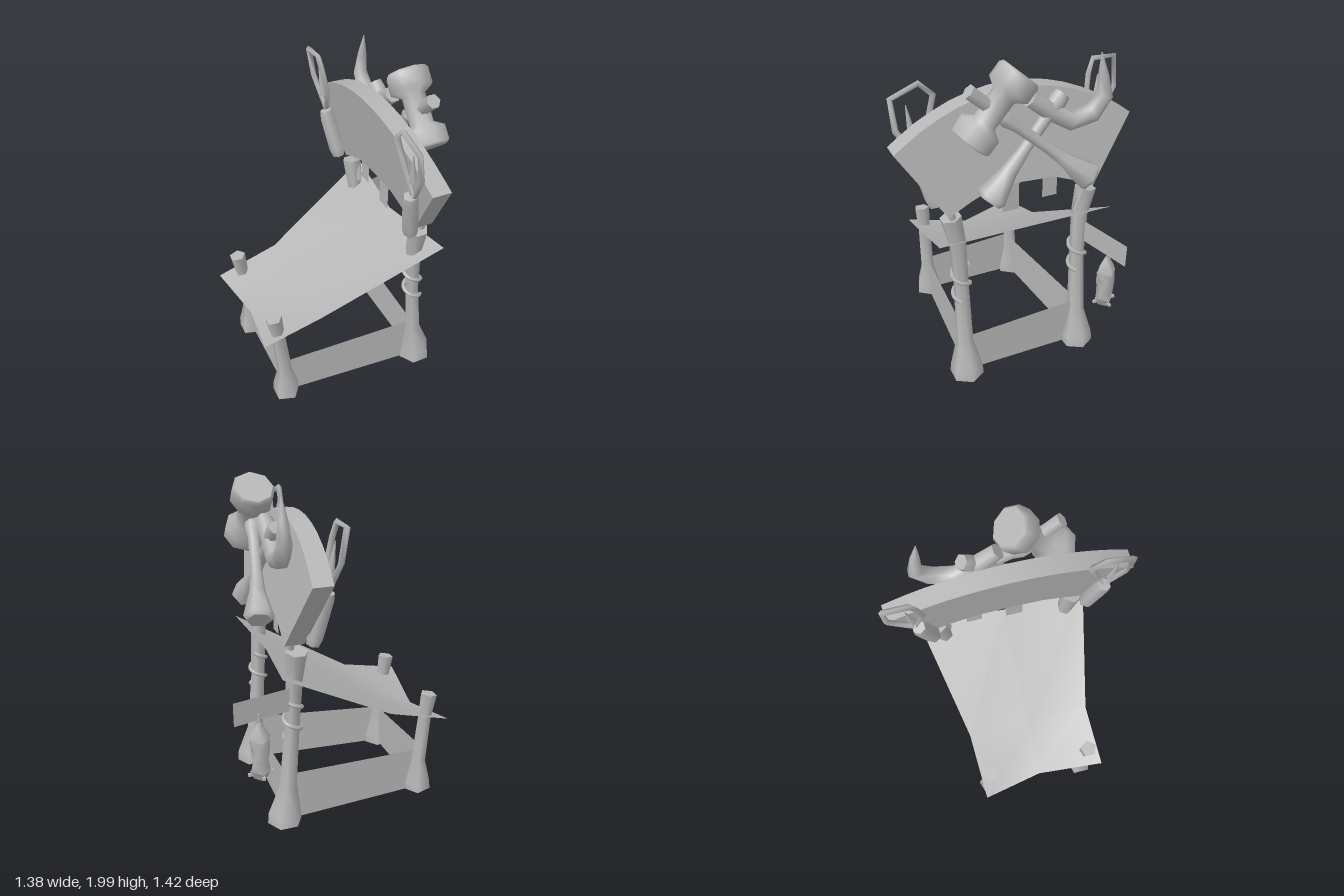
import * as THREE from 'three';
import { toCreasedNormals } from 'three/addons/utils/BufferGeometryUtils.js';

const V = (x, y, z) => new THREE.Vector3(x, y, z);
const stone = new THREE.MeshStandardMaterial({ color: 0xb6b6b6, side: THREE.DoubleSide });
stone.name = 'plain grey';

// Smooth rod through rings [x, y, z, radius], with flat caps unless closed
function rodGeometry(rings, sides = 6, { closed = false, twist = 0, start = 0 } = {}) {
  const n = rings.length, pos = [], index = [];
  const centre = i => V(...rings[i].slice(0, 3));
  const ring = i => {
    const a = closed ? (i + n - 1) % n : Math.max(i - 1, 0);
    const b = closed ? (i + 1) % n : Math.min(i + 1, n - 1);
    const t = centre(b).sub(centre(a)).normalize();
    const u = V(1, 0, 0).addScaledVector(t, -t.x).normalize();
    const v = t.clone().cross(u);
    for (let j = 0; j < sides; j++) {
      const q = start + twist * i + j / sides * Math.PI * 2, r = rings[i][3];
      const p = centre(i).addScaledVector(u, Math.cos(q) * r).addScaledVector(v, Math.sin(q) * r);
      pos.push(p.x, p.y, p.z);
    }
  };
  for (let i = 0; i < n; i++) ring(i);
  for (let i = 0; i < (closed ? n : n - 1); i++)
    for (let j = 0; j < sides; j++) {
      const k = (j + 1) % sides, m = (i + 1) % n;
      const a = i * sides + j, b = i * sides + k, c = m * sides + k, d = m * sides + j;
      index.push(a, b, d, b, c, d);
    }
  if (!closed) for (const i of [0, n - 1]) {
    const base = pos.length / 3;
    ring(i);
    pos.push(...rings[i].slice(0, 3));
    for (let j = 0; j < sides; j++) {
      const k = (j + 1) % sides;
      index.push(base + sides, base + (i ? j : k), base + (i ? k : j));
    }
  }
  const g = new THREE.BufferGeometry();
  g.setAttribute('position', new THREE.Float32BufferAttribute(pos, 3));
  g.setIndex(index);
  g.computeVertexNormals();
  return g;
}

// Straight rod from a to b with profile [fraction, radius]
const along = (a, b, profile) => profile.map(([t, r]) => [...V(...a).lerp(V(...b), t).toArray(), r]);

// Grid of rows of points as a thin sheet
function sheetGeometry(rows) {
  const w = rows[0].length, index = [];
  for (let i = 0; i < rows.length - 1; i++)
    for (let j = 0; j < w - 1; j++) {
      const a = i * w + j;
      index.push(a, a + 1, a + w, a + 1, a + w + 1, a + w);
    }
  const g = new THREE.BufferGeometry();
  g.setAttribute('position', new THREE.Float32BufferAttribute(rows.flat(2), 3));
  g.setIndex(index);
  g.computeVertexNormals();
  return g;
}

export function createModel() {
  const model = new THREE.Group();
  const add = (name, geometry, parent = model) => {
    const mesh = new THREE.Mesh(geometry, stone);
    mesh.name = name;
    parent.add(mesh);
    return mesh;
  };

  // Tall posts with swollen feet, vines, struts and upper logs
  for (const [s, z] of [[1, 0.37], [-1, -0.4]]) {
    add('tallPost', rodGeometry([
      [0.385, 0, z, 0.105], [0.385, 0.06, z, 0.1], [0.36, 0.24, z, 0.053],
      [0.33, 0.62, z, 0.045], [0.315, 0.92, z + s * 0.01, 0.05], [0.31, 1.1, z + s * 0.045, 0.064]], 6));
    const coil = [];
    for (let i = 0; i <= 14; i++) {
      const q = i / 14 * Math.PI * 3.6 + 0.5, y = 0.55 + i / 14 * 0.24;
      coil.push(V(0.33 - (y - 0.62) * 0.05 + Math.cos(q) * 0.053, y, z + Math.sin(q) * 0.053));
    }
    add('vine', new THREE.TubeGeometry(new THREE.CatmullRomCurve3(coil), 36, 0.013, 5));
    add('signStrut', rodGeometry([[0.33, 0.97, s * 0.375, 0.02], [0.34, 1.2, s * 0.44, 0.022]], 5));
    add('upperLog', rodGeometry([
      [0.225, 1.14, s * 0.47, 0.04], [0.215, 1.19, s * 0.48, 0.052],
      [0.175, 1.4, s * 0.53, 0.05], [0.165, 1.45, s * 0.54, 0.04]], 6));
  }

  // Short posts
  for (const z of [0.31, -0.335])
    add('shortPost', rodGeometry([
      [-0.52, 0, z, 0.087], [-0.52, 0.06, z, 0.083], [-0.522, 0.2, z, 0.047],
      [-0.55, 0.5, z, 0.042], [-0.572, 0.655, z, 0.052]], 5));

  // Low walls between the posts
  const corners = [[-0.52, 0.31, 0.265], [0.37, 0.37, 0.31], [0.37, -0.4, 0.31], [-0.52, -0.335, 0.3]];
  const ends = [[0.265, 0.31], [0.265, 0.31], [0.31, 0.27], [0.31, 0.265]];
  corners.forEach(([x, z], i) => {
    const [x2, z2] = corners[(i + 1) % 4], [h, h2] = ends[i];
    add('lowWall', sheetGeometry([[[x, 0, z], [x2, 0, z2]], [[x, h, z], [x2, h2, z2]]]));
  });

  // Sagging cloth canopy
  add('canopy', sheetGeometry([
    [[-0.66, 0.525, 0.385], [-0.61, 0.44, -0.02], [-0.69, 0.485, -0.39]],
    [[-0.29, 0.6, 0.375], [-0.29, 0.555, -0.02], [-0.29, 0.595, -0.405]],
    [[0.43, 0.995, 0.525], [0.37, 0.955, -0.02], [0.425, 0.995, -0.56]]]));

  // Arched sign board, leaning back
  const arch = new THREE.Shape();
  arch.moveTo(-0.45, 1.14);
  arch.lineTo(-0.71, 1.535);
  arch.splineThru([[-0.52, 1.65], [-0.27, 1.745], [0, 1.78], [0.27, 1.745], [0.52, 1.65], [0.71, 1.535]]
    .map(p => new THREE.Vector2(...p)));
  arch.lineTo(0.45, 1.14);
  for (const [x, y] of [[0.31, 1.205], [0.2, 1.245], [0, 1.255], [-0.2, 1.245], [-0.31, 1.205]]) arch.lineTo(x, y);
  const board = new THREE.ExtrudeGeometry(arch, { depth: 0.115, bevelEnabled: false, curveSegments: 2 });
  board.rotateY(Math.PI / 2);
  const p = board.attributes.position;
  for (let i = 0; i < p.count; i++) p.setX(i, p.getX(i) + 0.145 + (1.78 - p.getY(i)) * 0.19);
  board.computeVertexNormals();
  add('signBoard', toCreasedNormals(board, 0.5));

  // Strips hanging under the sign
  for (const [z1, z2, y] of [[0.09, -0.015, 1.04], [-0.165, -0.26, 1.08]])
    add('hangingStrip', sheetGeometry([
      [[0.29, y, z1], [0.29, y, z2]], [[0.29, 1.27, z1], [0.29, 1.27, z2]]]));

  // Rope loops behind the sign corners
  const loops = [
    [[0.66, 1.77], [0.5, 1.83], [0.425, 1.76], [0.48, 1.58], [0.55, 1.43], [0.65, 1.6]],
    [[-0.52, 1.74], [-0.55, 1.82], [-0.69, 1.82], [-0.69, 1.64], [-0.56, 1.43], [-0.5, 1.6]]];
  for (const loop of loops)
    add('ropeLoop', rodGeometry(loop.map(([z, y]) => [0.12 + (1.83 - y) * 0.16, y, z, 0.018]), 4, { closed: true }));
  for (const s of [1, -1])
    add('ropeSpike', rodGeometry([[0.16, 1.55, s * 0.56, 0.025], [0.14, 1.73, s * 0.58, 0.003]], 4));

  // Spool shaped mallet and its handle
  add('malletHead', rodGeometry(along([0.395, 1.575, 0.33], [0.395, 1.915, 0.04],
    [[0, 0.11], [0.03, 0.126], [0.22, 0.126], [0.3, 0.07], [0.68, 0.07], [0.76, 0.126], [0.96, 0.126], [1, 0.11]]), 8));
  add('malletHandle', rodGeometry([[0.4, 1.86, 0.33, 0.042], [0.4, 1.7, 0.15, 0.036]], 6));

  // Crossed bones
  const bone = [[0, 0.07], [0.04, 0.086], [0.28, 0.045], [0.5, 0.033], [0.82, 0.036], [0.93, 0.052], [1, 0.045]];
  add('crossedBone', rodGeometry(along([0.43, 1.22, 0.235], [0.35, 1.74, -0.235], bone), 6));
  add('crossedBone', rodGeometry(along([0.49, 1.27, -0.355], [0.38, 1.7, 0.15], bone), 6));

  // Curved horn
  add('horn', rodGeometry([
    [0.36, 1.75, -0.03, 0.05], [0.36, 1.66, -0.15, 0.056], [0.37, 1.58, -0.28, 0.055],
    [0.38, 1.61, -0.41, 0.055], [0.38, 1.7, -0.485, 0.045], [0.38, 1.82, -0.465, 0.03], [0.38, 1.95, -0.445, 0.003]], 6));

  // Side plank
  add('sidePlank', sheetGeometry([
    [[0.34, 0.74, -0.43], [0.69, 0.74, -0.515]], [[0.34, 0.88, -0.43], [0.69, 0.88, -0.515]]]));

  // Hanging lantern with twisted body
  const lantern = new THREE.Group();
  lantern.name = 'lantern';
  lantern.position.set(0.543, 0, -0.487);
  model.add(lantern);
  add('lanternBody', rodGeometry([
    [0, 0.42, 0, 0.058], [0, 0.49, 0, 0.056], [0, 0.56, 0, 0.056], [0, 0.63, 0, 0.058]], 4, { twist: Math.PI / 6 }), lantern);
  add('lanternRoof', rodGeometry([[0, 0.62, 0, 0.062], [0, 0.65, 0, 0.055], [0, 0.72, 0, 0.016]], 4), lantern);
  add('lanternBase', rodGeometry([[0, 0.38, 0, 0.04], [0, 0.43, 0, 0.064]], 4), lantern);
  add('lanternHook', rodGeometry([[0, 0.71, 0, 0.008], [0, 0.78, 0, 0.008]], 4), lantern);
  for (const [y, length] of [[0.41, 0.15], [0.62, 0.12]])
    for (const turn of [0, 1])
      add('lanternBar', new THREE.BoxGeometry(length, 0.016, 0.016), lantern)
        .rotateY(turn * Math.PI / 2).position.y = y;

  return model;
}
